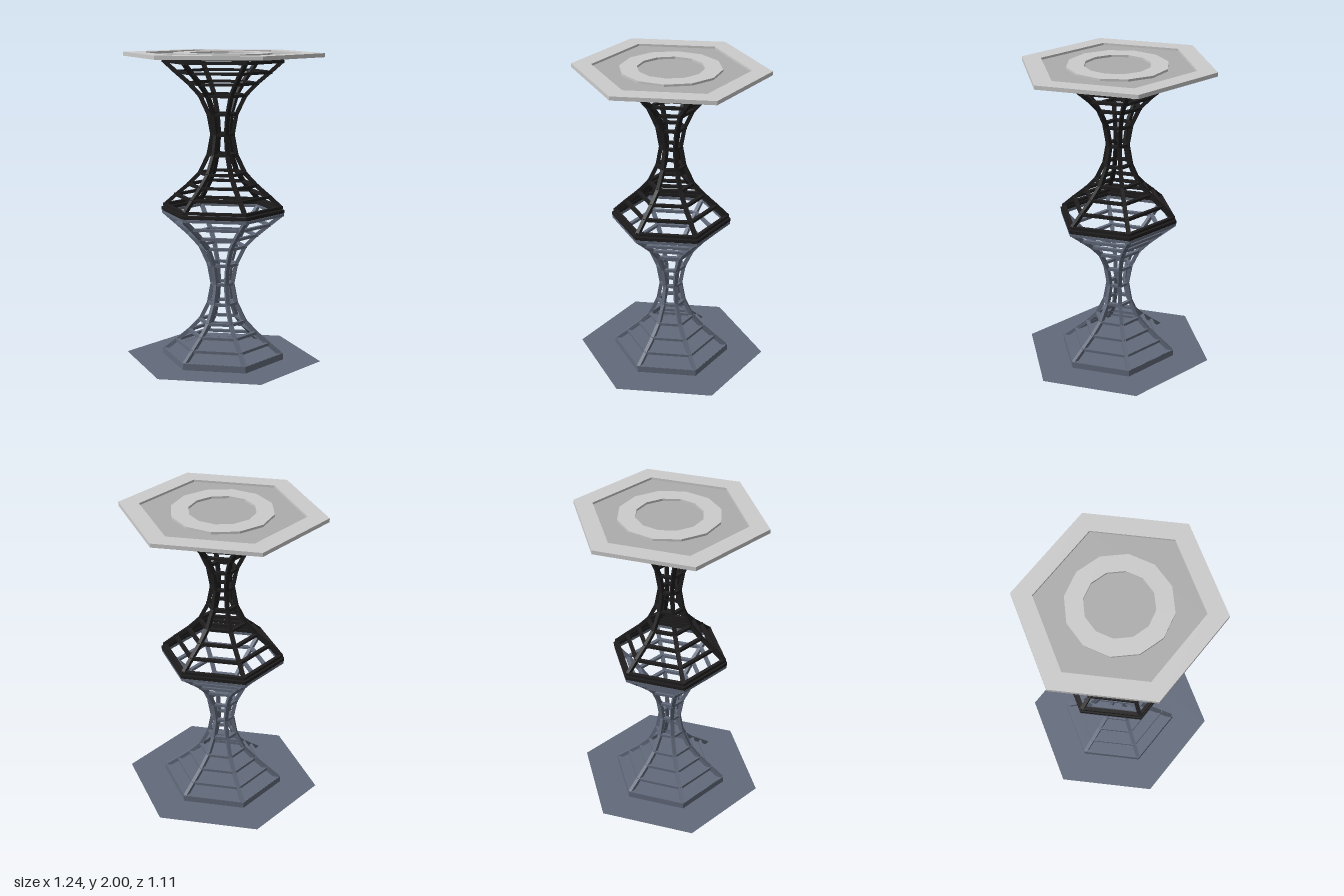
import * as THREE from 'three';

const mat = (color) => new THREE.MeshStandardMaterial({ color, flatShading: true, side: THREE.DoubleSide });

// Slightly skewed hexagon, unit = radius along x; y here becomes -z
const HEX = [[1, 0], [0.46, 0.898], [-0.537, 0.898], [-1, 0], [-0.46, -0.898], [0.537, -0.898]];
const hex = (r) => HEX.map(([x, y]) => new THREE.Vector2(x * r, y * r));
const round = (r) => Array.from({ length: 12 }, (_, i) =>
  new THREE.Vector2(r * Math.cos(i * Math.PI / 6), r * Math.sin(i * Math.PI / 6)));

// Flat slab or frame lying between y0 and y1
function slab(name, outer, inner, y0, y1, material) {
  const shape = new THREE.Shape(outer);
  if (inner) shape.holes.push(new THREE.Path(inner));
  const geo = new THREE.ExtrudeGeometry(shape, { depth: y1 - y0, bevelEnabled: false });
  geo.rotateX(-Math.PI / 2).translate(0, y0, 0);
  const mesh = new THREE.Mesh(geo, material);
  mesh.name = name;
  return mesh;
}

// Square bar between two points, one side facing outwards
function bar(a, b, size, material) {
  const mesh = new THREE.Mesh(new THREE.BoxGeometry(size, size, a.distanceTo(b) + size * 0.35), material);
  mesh.position.copy(a).add(b).multiplyScalar(0.5);
  mesh.up.set(a.x + b.x, 0, a.z + b.z).normalize();
  mesh.lookAt(b);
  mesh.name = 'strutSegment';
  return mesh;
}

// Waisted cage: hexagonal rings at [distance from waist, radius], mirrored, joined by six struts
function cage(name, waistY, half, material) {
  const group = new THREE.Group();
  group.name = name;
  const levels = [...half.slice(1).reverse().map(([d, r]) => [-d, r]), ...half];
  for (const [d, r] of levels) {
    const y = waistY + d;
    group.add(slab('ring', hex(r), hex(r - 0.026), y - 0.009, y + 0.009, material));
  }
  HEX.forEach(([x, y]) => {
    const pts = levels.map(([d, r]) => new THREE.Vector3(x * (r - 0.014), waistY + d, -y * (r - 0.014)));
    for (let i = 1; i < pts.length; i++) group.add(bar(pts[i - 1], pts[i], 0.024, material));
  });
  return group;
}

export function createModel() {
  const model = new THREE.Group();
  model.name = 'pedestalTable';
  const slate = mat(0x626a7b), black = mat(0x1f1d1d), grey = mat(0xcccccc), darkGrey = mat(0xadadad);

  // Base: paper-thin floor plate and solid foot
  const floor = new THREE.Mesh(new THREE.ShapeGeometry(new THREE.Shape(hex(0.62))), slate);
  floor.geometry.rotateX(-Math.PI / 2);
  floor.name = 'floorPlate';
  model.add(floor, slab('foot', hex(0.386), null, 0, 0.042, slate));

  // Lower and upper cages
  const curve = [[0, 0.077], [0.13, 0.1], [0.25, 0.155], [0.327, 0.225], [0.398, 0.305]];
  model.add(cage('lowerCage', 0.5, [...curve, [0.466, 0.384]], slate));
  model.add(cage('upperCage', 1.48, [...curve, [0.466, 0.378]], black));
  model.add(slab('middleRim', hex(0.387), hex(0.355), 0.978, 0.999, black));
  model.add(slab('topRim', hex(0.387), hex(0.355), 1.958, 1.976, black));

  // Table top: raised border and ring around two recesses
  model.add(slab('topPlate', hex(0.62), null, 1.975, 1.983, grey));
  model.add(slab('recessFloor', hex(0.495), null, 1.983, 1.986, darkGrey));
  model.add(slab('topBorder', hex(0.62), hex(0.495), 1.983, 2, grey));
  model.add(slab('topRing', round(0.32), round(0.21), 1.986, 2, grey));
  return model;
}
